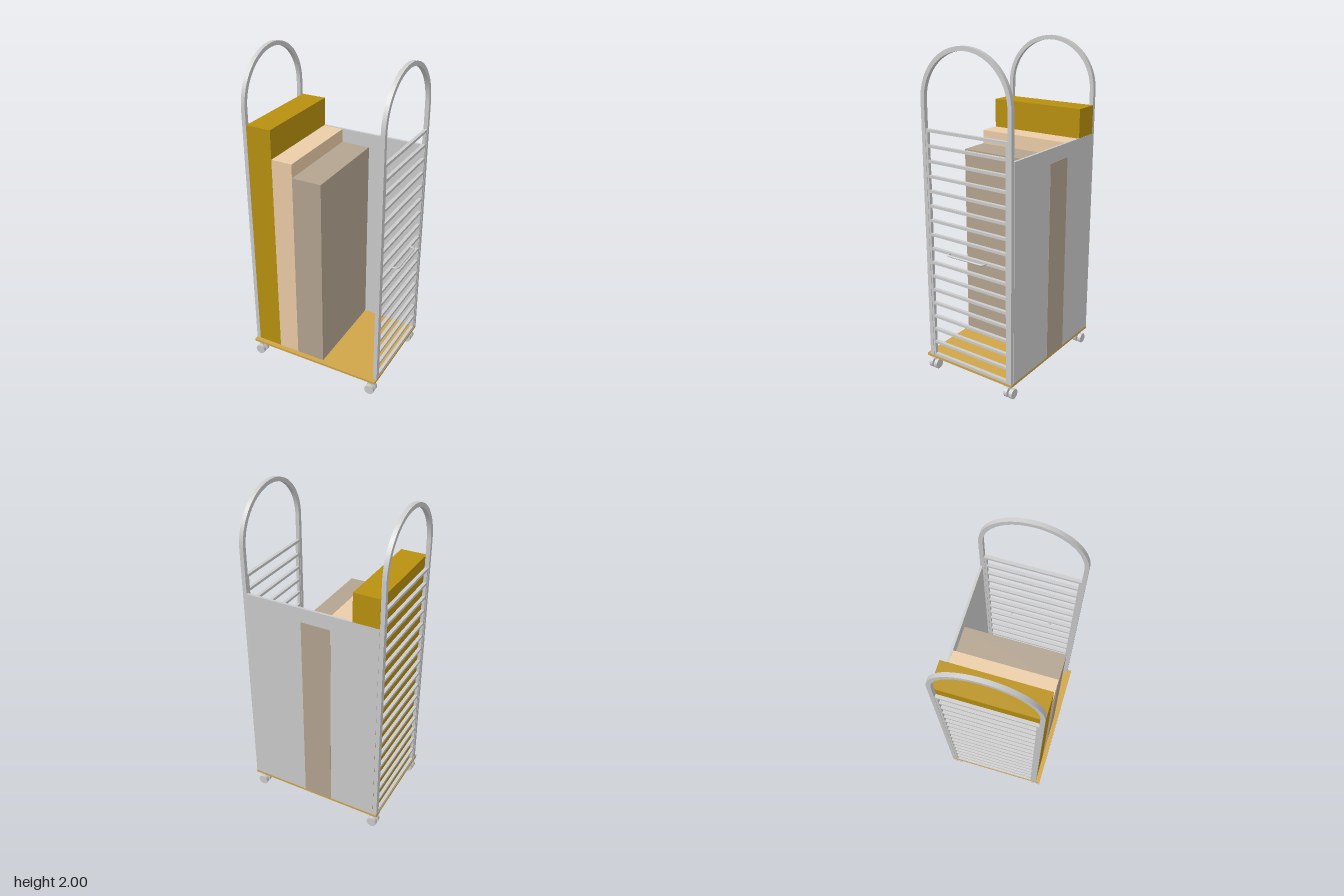
import * as THREE from 'three';
import { toCreasedNormals } from 'three/addons/utils/BufferGeometryUtils.js';

const mat = (color) => new THREE.MeshStandardMaterial({ color });
const grey = mat(0xcccccc);
const FLOOR = 0.11;       // top of the deck
const MID_Z = -0.0125;    // centre of the end frames
const R = 0.305;          // outer radius of the arches
const TUBE = 0.025;

function add(parent, name, geometry, material = grey) {
  const mesh = new THREE.Mesh(geometry, material);
  mesh.name = name;
  parent.add(mesh);
  return mesh;
}

// Box given by its limits on each axis
function block(parent, name, [x0, x1], [y0, y1], [z0, z1], material) {
  const mesh = add(parent, name, new THREE.BoxGeometry(x1 - x0, y1 - y0, z1 - z0), material);
  mesh.position.set((x0 + x1) / 2, (y0 + y1) / 2, (z0 + z1) / 2);
  return mesh;
}

// Extrudes a (z, y) shape along x, centred on x = 0
function extrudeX(shape, depth) {
  const g = new THREE.ExtrudeGeometry(shape, { depth, bevelEnabled: false, curveSegments: 32 });
  g.translate(0, 0, -depth / 2);
  g.rotateY(-Math.PI / 2);
  return toCreasedNormals(g, 0.5);
}

// Arched post frame with a ladder of rungs between its legs
function endFrame() {
  const frame = new THREE.Group();
  const r = R - TUBE;
  const springY = 2 - R;
  const arch = new THREE.Shape();
  arch.moveTo(R, FLOOR);
  arch.lineTo(R, springY);
  arch.absarc(0, springY, R, 0, Math.PI, false);
  arch.lineTo(-R, FLOOR);
  arch.lineTo(-r, FLOOR);
  arch.lineTo(-r, springY);
  arch.absarc(0, springY, r, Math.PI, 0, true);
  arch.lineTo(r, FLOOR);
  arch.closePath();
  add(frame, 'arch', extrudeX(arch, TUBE));

  const rect = (Type, w, y0, y1) => new Type([
    new THREE.Vector2(-w, y0), new THREE.Vector2(w, y0),
    new THREE.Vector2(w, y1), new THREE.Vector2(-w, y1),
  ]);
  const ladder = rect(THREE.Shape, r, FLOOR, 1.537);
  for (let i = 0; i < 16; i++) {
    const y = 0.127 + i * 0.0881;
    ladder.holes.push(rect(THREE.Path, 0.266, y, y + 0.072));
  }
  add(frame, 'rungs', extrudeX(ladder, 0.02));
  frame.position.z = MID_Z;
  return frame;
}

// Twin-wheel swivel caster
function caster() {
  const group = new THREE.Group();
  block(group, 'casterPlate', [-0.035, 0.035], [0.088, 0.095], [-0.026, 0.026]);
  const stem = add(group, 'casterStem', new THREE.CylinderGeometry(0.006, 0.006, 0.06, 12));
  stem.position.y = 0.061;
  const axle = add(group, 'casterAxle', new THREE.CylinderGeometry(0.007, 0.007, 0.03, 12));
  axle.rotation.x = Math.PI / 2;
  axle.position.y = 0.032;
  for (const side of [-1, 1]) {
    const wheel = add(group, 'wheel', new THREE.CylinderGeometry(0.031, 0.031, 0.022, 16));
    wheel.rotation.x = Math.PI / 2;
    wheel.position.set(0, 0.031, side * 0.018);
  }
  return group;
}

export function createModel() {
  const model = new THREE.Group();
  model.name = 'cart';

  block(model, 'deck', [-0.455, 0.42], [0.095, FLOOR], [-0.32, 0.32], mat(0xcfa54a));
  block(model, 'backPanel', [-0.43, 0.395], [FLOOR, 1.431], [-0.32, -0.305]);

  // Stacked flat load, tallest at the right end
  block(model, 'tallBoard', [-0.43, -0.272], [FLOOR, 1.605], [-0.319, 0.291], mat(0xb8900f));
  block(model, 'middleBoard', [-0.272, -0.14], [FLOOR, 1.429], [-0.319, 0.291], mat(0xebcca7));
  block(model, 'shortBoard', [-0.14, 0.044], [FLOOR, 1.345], [-0.3215, 0.291], mat(0xb3a490));

  for (const [name, x] of [['rightFrame', -0.4425], ['leftFrame', 0.4075]]) {
    const frame = endFrame();
    frame.name = name;
    frame.position.x = x;
    model.add(frame);
  }

  // Bent-rod push handle
  const [hx, z0, z1, bend] = [0.447, -0.144, 0.114, 0.025];
  const v = (x, z) => new THREE.Vector3(x, 0.825, z);
  const path = new THREE.CurvePath();
  path.add(new THREE.LineCurve3(v(0.41, z0), v(hx - bend, z0)));
  path.add(new THREE.QuadraticBezierCurve3(v(hx - bend, z0), v(hx, z0), v(hx, z0 + bend)));
  path.add(new THREE.LineCurve3(v(hx, z0 + bend), v(hx, z1 - bend)));
  path.add(new THREE.QuadraticBezierCurve3(v(hx, z1 - bend), v(hx, z1), v(hx - bend, z1)));
  path.add(new THREE.LineCurve3(v(hx - bend, z1), v(0.41, z1)));
  add(model, 'handle', new THREE.TubeGeometry(path, 80, 0.006, 10));

  for (const x of [-0.42, 0.38]) {
    for (const z of [-0.284, 0.288]) {
      const c = caster();
      c.name = 'caster';
      c.position.set(x, 0, z);
      model.add(c);
    }
  }

  // Centre the whole cart, handle included
  for (const part of model.children) part.position.x += 0.001;
  return model;
}
